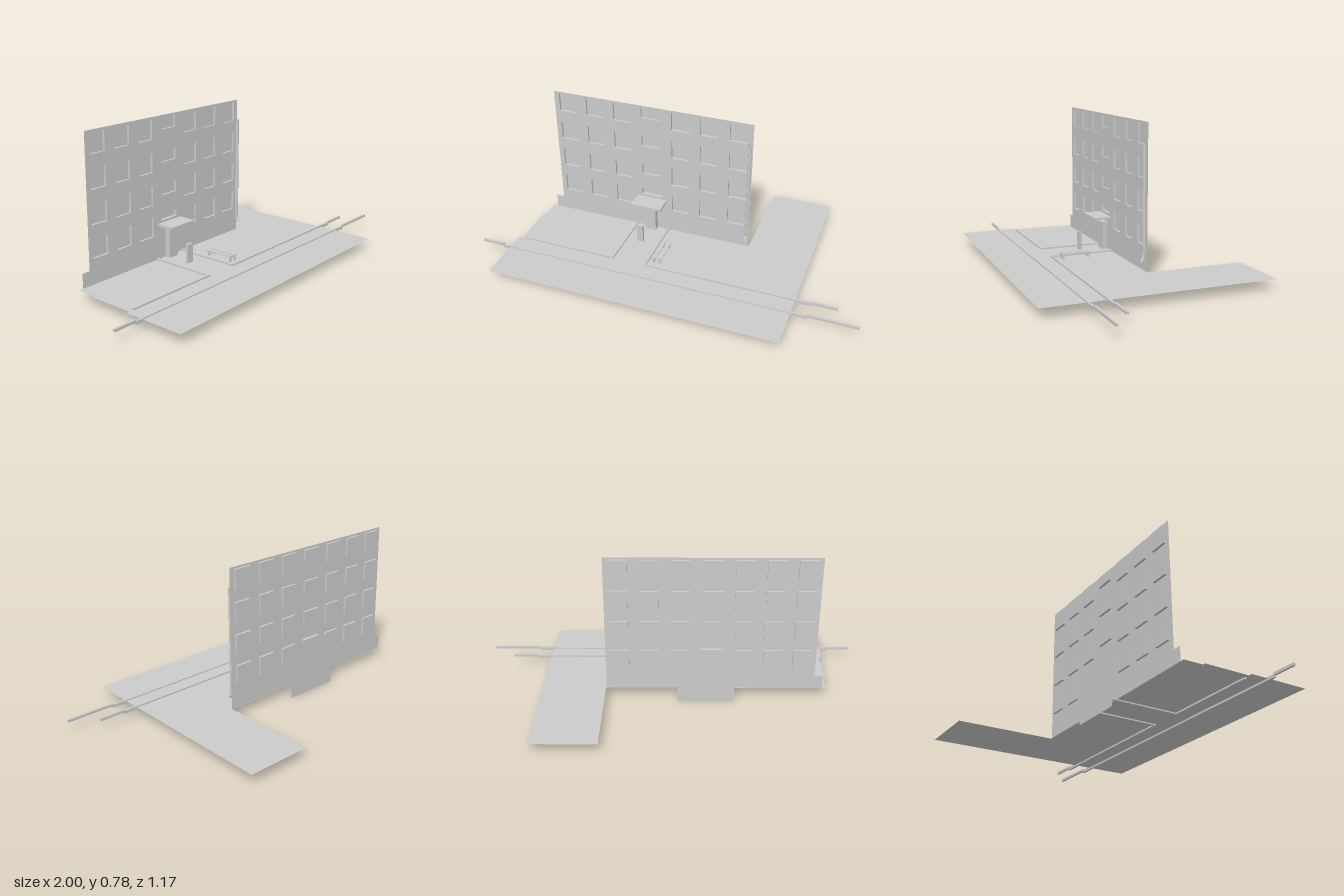
import * as THREE from 'three';

const material = new THREE.MeshStandardMaterial({ color: 0xcccccc, flatShading: true, side: THREE.DoubleSide });
const WALL_Z = -0.068;
const GROUND_Y = 0.052;

function add(parent, name, geometry) {
  const mesh = new THREE.Mesh(geometry, material);
  mesh.name = name;
  parent.add(mesh);
  return mesh;
}

// Box given by its limits on each axis
function box(parent, name, x0, x1, y0, y1, z0, z1) {
  const mesh = add(parent, name, new THREE.BoxGeometry(x1 - x0, y1 - y0, z1 - z0));
  mesh.position.set((x0 + x1) / 2, (y0 + y1) / 2, (z0 + z1) / 2);
  return mesh;
}

function polygon(points) {
  return new THREE.Shape(points.map(([x, y]) => new THREE.Vector2(x, y)));
}

// Window openings as [x0, x1, y0, y1, depth]
function windowOpenings() {
  const columns = [[-0.715, -0.623], [-0.562, -0.47], [-0.41, -0.318], [-0.092, 0], [0.062, 0.154], [0.216, 0.309]];
  const openings = [];
  for (const y of [0.178, 0.34, 0.506, 0.67]) {
    for (const [x0, x1] of columns) openings.push([x0, x1, y, y + 0.099, 0.012]);
  }
  for (const y of [0.38, 0.546, 0.71]) openings.push([-0.256, -0.154, y, y + 0.058, 0.012]);
  openings.push([-0.262, -0.15, 0.25, 0.284, 0.018]);
  return openings;
}

function createFacade() {
  const facade = new THREE.Group();
  facade.name = 'facade';
  const outline = polygon([
    [-0.785, GROUND_Y], [0.337, GROUND_Y], [0.337, 0.78], [-0.742, 0.78], [-0.742, 0.125], [-0.785, 0.125],
  ]);
  for (const [x0, x1, y0, y1, depth] of windowOpenings()) {
    outline.holes.push(polygon([[x0, y0], [x0, y1], [x1, y1], [x1, y0]]));
    // Recess: a box without its front face
    const recess = box(facade, 'windowRecess', x0, x1, y0, y1, WALL_Z - depth, WALL_Z);
    const index = Array.from(recess.geometry.index.array);
    index.splice(24, 6);
    recess.geometry.setIndex(index);
    recess.geometry.clearGroups();
  }
  add(facade, 'wall', new THREE.ShapeGeometry(outline)).position.z = WALL_Z;
  return facade;
}

function createGround() {
  const ground = new THREE.Group();
  ground.name = 'ground';
  // L-shaped lot, drawn as (x, -z) and laid flat
  const lot = polygon([
    [-0.84, -0.582], [0.672, -0.582], [0.672, 0.585], [0.34, 0.585], [0.34, 0.07],
    [-0.808, 0.07], [-0.808, -0.03], [-0.822, -0.03], [-0.822, -0.27], [-0.84, -0.27],
  ]);
  const mesh = add(ground, 'lot', new THREE.ShapeGeometry(lot));
  mesh.rotation.x = -Math.PI / 2;
  mesh.position.y = GROUND_Y;
  return ground;
}

function createCurbs() {
  const curbs = new THREE.Group();
  curbs.name = 'curbs';
  // Street curb in three lengths
  box(curbs, 'streetCurb', -1, -0.88, 0.052, 0.065, 0.358, 0.37);
  box(curbs, 'streetCurb', -0.88, 0.75, 0.042, 0.058, 0.358, 0.37);
  box(curbs, 'streetCurb', 0.75, 1, 0.052, 0.065, 0.358, 0.37);
  // Lawn curbs, each turning in towards the entrance
  box(curbs, 'lawnCurbRight', -0.8, -0.29, 0.043, 0.06, 0.263, 0.275);
  box(curbs, 'lawnCurbLeft', -0.12, 0.75, 0.043, 0.06, 0.263, 0.275);
  box(curbs, 'lawnCurbLeft', 0.75, 0.88, 0.052, 0.065, 0.263, 0.275);
  for (const x of [-0.295, -0.115]) box(curbs, 'pathCurb', x - 0.006, x + 0.006, 0.045, 0.06, -0.105, 0.263);
  return curbs;
}

function createEntrance() {
  const entrance = new THREE.Group();
  entrance.name = 'entrance';
  box(entrance, 'canopy', -0.288, -0.122, 0.226, 0.238, WALL_Z, 0.028);
  box(entrance, 'door', -0.235, -0.176, GROUND_Y, 0.2, WALL_Z, -0.038);
  box(entrance, 'post', -0.235, -0.2, GROUND_Y, 0.15, 0.07, 0.085);
  // Backing panel behind the entrance wall
  const panel = add(entrance, 'backPanel', new THREE.PlaneGeometry(0.295, 0.29));
  panel.position.set(-0.178, 0.145, -0.115);
  return entrance;
}

function createBench() {
  const bench = new THREE.Group();
  bench.name = 'bench';
  for (const side of [-1, 1]) {
    const x = -0.065 + side * 0.016;
    box(bench, 'slat', x - 0.011, x + 0.011, 0.079, 0.083, 0.085, 0.235);
    for (const z of [0.09, 0.229]) box(bench, 'leg', x - 0.004, x + 0.004, GROUND_Y, 0.079, z - 0.005, z + 0.005);
  }
  for (const z of [0.09, 0.229]) box(bench, 'crossBar', -0.081, -0.049, 0.074, 0.079, z - 0.004, z + 0.004);
  return bench;
}

// Downpipe with a foot kicked out from the wall
function createDownpipe() {
  const group = new THREE.Group();
  group.name = 'downpipe';
  const path = new THREE.CurvePath();
  const points = [[0.675, -0.056], [0.13, -0.056], [0.103, -0.045]].map(([y, z]) => new THREE.Vector3(0.325, y, z));
  path.add(new THREE.LineCurve3(points[0], points[1]));
  path.add(new THREE.LineCurve3(points[1], points[2]));
  add(group, 'pipe', new THREE.TubeGeometry(path, 24, 0.009, 8, false));
  return group;
}

export function createModel() {
  const model = new THREE.Group();
  model.name = 'apartmentFront';
  model.add(createGround(), createCurbs(), createFacade(), createEntrance(), createBench(), createDownpipe());
  return model;
}
